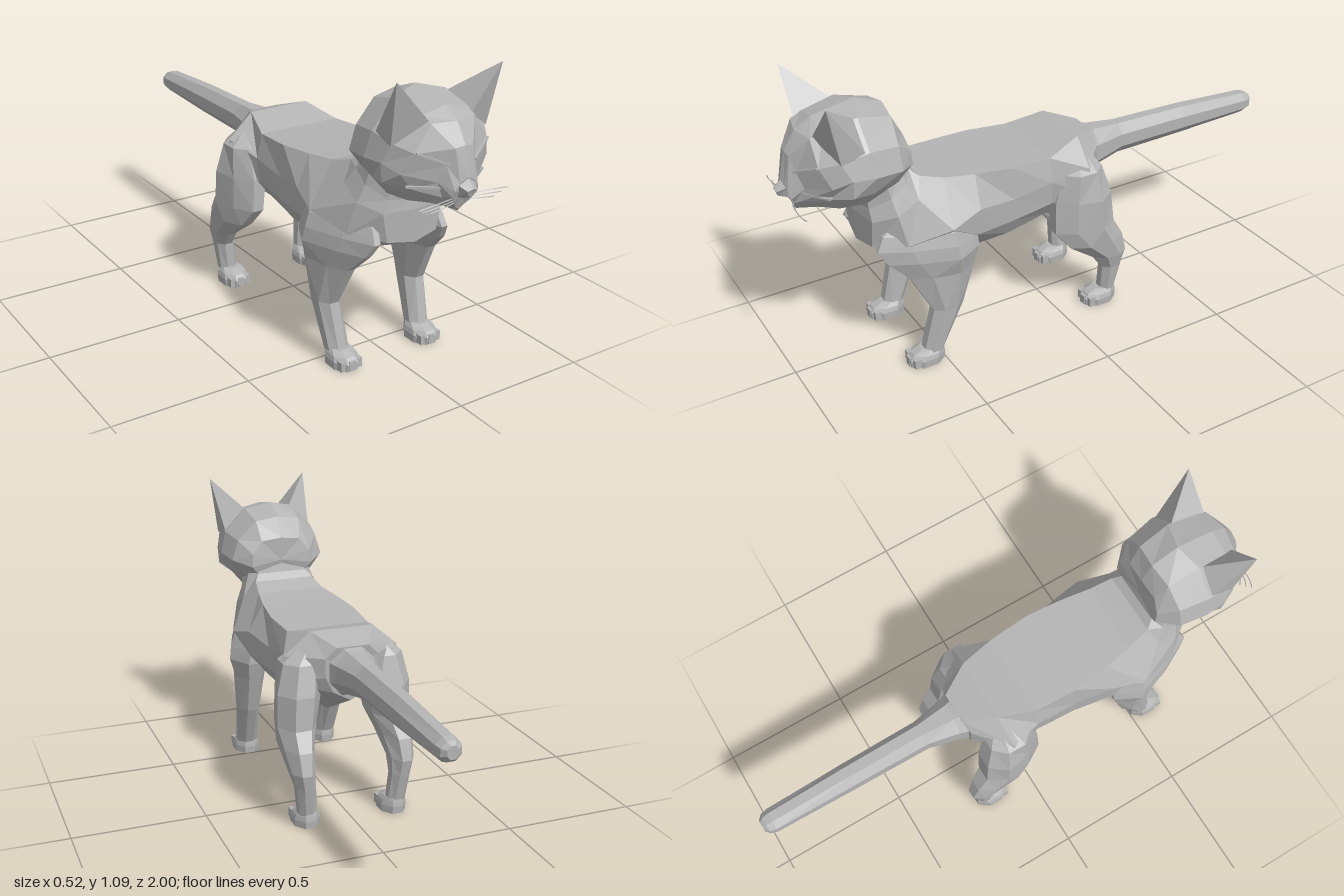
import * as THREE from 'three';

const fur = new THREE.MeshStandardMaterial({ color: 0xb4b4b4 });
fur.name = 'grey fur';

// Flat-faced mesh from any geometry
function facet(name, geometry) {
  const g = geometry.index ? geometry.toNonIndexed() : geometry;
  g.deleteAttribute('normal');
  g.computeVertexNormals();
  const mesh = new THREE.Mesh(g, fur);
  mesh.name = name;
  return mesh;
}

// Skin a list of closed cross-sections and cap both ends
function loft(name, rings) {
  const tris = [];
  const n = rings[0].length;
  for (let r = 0; r < rings.length - 1; r++) {
    for (let i = 0; i < n; i++) {
      const j = (i + 1) % n;
      const [a, b, c, d] = [rings[r][i], rings[r][j], rings[r + 1][j], rings[r + 1][i]];
      tris.push([a, b, c], [a, c, d]);
    }
  }
  const cap = (ring, flip) => {
    const mid = [0, 1, 2].map(k => ring.reduce((s, p) => s + p[k], 0) / n);
    ring.forEach((p, i) => {
      const q = ring[(i + 1) % n];
      tris.push(flip ? [mid, q, p] : [mid, p, q]);
    });
  };
  cap(rings[0], true);
  cap(rings[rings.length - 1], false);
  // Face outwards whichever way the rings were wound
  let volume = 0;
  const v = p => new THREE.Vector3(...p);
  for (const [a, b, c] of tris) volume += v(a).dot(v(b).cross(v(c)));
  if (volume < 0) tris.forEach(t => t.reverse());
  const g = new THREE.BufferGeometry();
  g.setAttribute('position', new THREE.Float32BufferAttribute(tris.flat(2), 3));
  return facet(name, g);
}

// Half section (top to bottom) mirrored into a full ring
const mirror = half => [...half,
  ...half.filter(p => p[0] !== 0).reverse().map(([x, y, z]) => [-x, y, z])];

// Octagon filling the box a0..a1 by b0..b1
function octagon(a0, a1, b0, b1, place) {
  return Array.from({ length: 8 }, (_, i) => {
    const t = (i + 0.5) * Math.PI / 4, k = 2 * Math.cos(Math.PI / 8);
    return place((a0 + a1) / 2 + (a1 - a0) * Math.cos(t) / k, (b0 + b1) / 2 + (b1 - b0) * Math.sin(t) / k);
  });
}

// Limb from rows of [y, inner x, outer x, front z, back z, pinch];
// pinch pulls the outer front corner inwards
const limb = (name, rows, s) => loft(name, rows.map(([y, x0, x1, z0, z1, pinch = 0]) =>
  octagon(x0, x1, z1, z0, (x, z) => {
    const outerFront = x > (x0 + x1) / 2 && z > (z0 + z1) / 2;
    return [s * (outerFront ? x - pinch : x), y, z];
  })));

// Paw with three blocky toes; z is the heel
function paw(name, s, z, x) {
  const group = new THREE.Group();
  group.name = name;
  group.add(limb('pawPad', [
    [0.06, x - 0.035, x + 0.035, z + 0.085, z + 0.003],
    [0.045, x - 0.045, x + 0.045, z + 0.12, z],
    [0.028, x - 0.05, x + 0.05, z + 0.135, z - 0.002],
    [0, x - 0.048, x + 0.048, z + 0.132, z]], s));
  for (const k of [-1, 0, 1]) {
    const toe = facet('toe', new THREE.BoxGeometry(0.027, 0.034, 0.04));
    toe.position.set(s * (x + k * 0.029), 0.02, z + 0.117 - Math.abs(k) * 0.01);
    group.add(toe);
  }
  return group;
}

export function createModel() {
  const cat = new THREE.Group();
  cat.name = 'cat';

  // Torso from inside the head, down the neck, to the rump
  cat.add(loft('torso', [
    [[0.08, 0.81, 0.575], [0.12, 0.78, 0.60], [0.135, 0.74, 0.66], [0.09, 0.70, 0.72], [0, 0.69, 0.74]],
    [[0.10, 0.75, 0.562], [0.14, 0.72, 0.59], [0.145, 0.68, 0.65], [0.10, 0.64, 0.715], [0, 0.63, 0.73]],
    [[0.12, 0.725, 0.535], [0.165, 0.66, 0.56], [0.17, 0.62, 0.64], [0.12, 0.595, 0.715], [0, 0.595, 0.735]],
    [[0.135, 0.70, 0.45], [0.238, 0.55, 0.47], [0.195, 0.51, 0.62], [0.10, 0.49, 0.715], [0, 0.475, 0.73]],
    [[0.155, 0.69, 0.34], [0.21, 0.58, 0.35], [0.205, 0.48, 0.36], [0.13, 0.39, 0.37], [0, 0.31, 0.38]],
    [[0.17, 0.68, 0.20], [0.18, 0.56, 0.20], [0.175, 0.47, 0.20], [0.13, 0.395, 0.20], [0, 0.31, 0.22]],
    [[0.16, 0.67, 0.04], [0.18, 0.58, 0.04], [0.172, 0.49, 0.04], [0.12, 0.42, 0.04], [0, 0.345, 0.04]],
    [[0.12, 0.705, -0.10], [0.22, 0.62, -0.09], [0.235, 0.52, -0.085], [0.11, 0.45, -0.08], [0, 0.40, -0.07]],
    [[0.06, 0.67, -0.21], [0.10, 0.63, -0.20], [0.10, 0.56, -0.20], [0.07, 0.50, -0.20], [0, 0.46, -0.19]],
  ].map(mirror)));

  // Tail rows: z, half width, bottom, top
  cat.add(loft('tail', [
    [-0.16, 0.10, 0.47, 0.68], [-0.23, 0.075, 0.50, 0.658], [-0.35, 0.05, 0.525, 0.647],
    [-0.65, 0.047, 0.53, 0.64], [-0.96, 0.042, 0.54, 0.622], [-0.985, 0.036, 0.548, 0.615], [-1, 0.02, 0.56, 0.605],
  ].map(([z, w, y0, y1]) => octagon(-w, w, y0, y1, (x, y) => [x, y, z]))));

  // Head, back of skull to muzzle
  cat.add(loft('head', [
    [[0, 0.89, 0.565], [0.08, 0.88, 0.57], [0.12, 0.83, 0.56], [0.125, 0.78, 0.556], [0.10, 0.75, 0.565], [0.06, 0.74, 0.575], [0, 0.74, 0.575]],
    [[0, 0.97, 0.60], [0.09, 0.955, 0.61], [0.165, 0.88, 0.62], [0.19, 0.80, 0.62], [0.14, 0.735, 0.62], [0.10, 0.71, 0.64], [0, 0.70, 0.66]],
    [[0, 1.01, 0.70], [0.10, 0.985, 0.73], [0.185, 0.895, 0.73], [0.207, 0.81, 0.72], [0.17, 0.735, 0.72], [0.12, 0.675, 0.73], [0, 0.645, 0.735]],
    [[0, 0.98, 0.85], [0.095, 0.96, 0.85], [0.18, 0.88, 0.83], [0.20, 0.815, 0.80], [0.195, 0.75, 0.80], [0.11, 0.68, 0.82], [0, 0.65, 0.84]],
    [[0, 0.945, 0.91], [0.085, 0.945, 0.89], [0.14, 0.86, 0.89], [0.17, 0.79, 0.86], [0.13, 0.735, 0.865], [0.07, 0.685, 0.88], [0, 0.655, 0.89]],
    [[0, 0.88, 0.952], [0.035, 0.875, 0.948], [0.055, 0.82, 0.935], [0.075, 0.765, 0.92], [0.06, 0.715, 0.928], [0.035, 0.68, 0.925], [0, 0.66, 0.93]],
    [[0, 0.785, 0.975], [0.028, 0.77, 0.97], [0.045, 0.745, 0.968], [0.05, 0.725, 0.96], [0.035, 0.70, 0.95], [0.018, 0.68, 0.938], [0, 0.665, 0.935]],
  ].map(mirror)));

  // Nose wedge
  cat.add(loft('nose', [
    [[0, 0.79, 0.965], [0.035, 0.765, 0.96], [0.025, 0.72, 0.955], [0, 0.71, 0.955]],
    [[0, 0.755, 1], [0.018, 0.748, 0.995], [0.01, 0.73, 0.988], [0, 0.725, 0.988]],
  ].map(mirror)));

  for (const s of [1, -1]) {
    const side = s > 0 ? 'left' : 'right';

    // Ear: four-sided spike leaning forward and out
    const base = [[0.08, 0.945, 0.88], [0.095, 0.98, 0.74], [0.18, 0.89, 0.74], [0.187, 0.875, 0.83]];
    const tip = [0.204, 1.09, 0.872];
    const ring = t => base.map(p => p.map((c, k) => (c + (tip[k] - c) * t) * (k ? 1 : s)));
    cat.add(loft(side + 'Ear', [ring(0), ring(0.99)]));

    // Brow ridge and lower cheek fold
    const brow = facet(side + 'Brow', new THREE.BoxGeometry(0.11, 0.007, 0.024));
    brow.position.set(s * 0.09, 0.842, 0.911);
    brow.rotation.set(0, s * 0.5, s * 0.36);
    const fold = facet(side + 'CheekFold', new THREE.BoxGeometry(0.11, 0.007, 0.016));
    fold.position.set(s * 0.105, 0.747, 0.892);
    fold.rotation.set(0, s * 0.62, 0);
    cat.add(brow, fold);

    // Whiskers
    for (const k of [0, 1, 2]) {
      const curve = new THREE.QuadraticBezierCurve3(
        new THREE.Vector3(s * 0.035, 0.715 - k * 0.008, 0.95),
        new THREE.Vector3(s * 0.11, 0.73 - k * 0.018, 0.985 - k * 0.008),
        new THREE.Vector3(s * (0.175 - k * 0.02), 0.71 - k * 0.014, 0.962 - k * 0.01));
      cat.add(facet(side + 'Whisker', new THREE.TubeGeometry(curve, 6, 0.002, 3)));
    }

    // Front leg, shoulder to ankle
    cat.add(limb(side + 'FrontLeg', [
      [0.60, 0.09, 0.18, 0.62, 0.42, 0.02], [0.54, 0.07, 0.236, 0.69, 0.37, 0.045],
      [0.49, 0.075, 0.252, 0.715, 0.36, 0.05], [0.44, 0.09, 0.26, 0.685, 0.36, 0.045],
      [0.37, 0.118, 0.24, 0.615, 0.38, 0.02], [0.22, 0.14, 0.224, 0.54, 0.425], [0.05, 0.133, 0.212, 0.58, 0.502],
    ], s));
    cat.add(paw(side + 'FrontPaw', s, 0.503, 0.17));

    // Hind leg, hip to ankle
    cat.add(limb(side + 'HindLeg', [
      [0.65, 0.08, 0.17, -0.05, -0.13], [0.60, 0.08, 0.23, 0.0, -0.165], [0.49, 0.09, 0.257, 0.03, -0.195, 0.02],
      [0.37, 0.11, 0.26, 0.035, -0.205, 0.02], [0.30, 0.135, 0.25, -0.02, -0.245], [0.22, 0.15, 0.238, -0.13, -0.267],
      [0.16, 0.15, 0.222, -0.172, -0.257], [0.05, 0.14, 0.21, -0.172, -0.235],
    ], s));
    cat.add(paw(side + 'HindPaw', s, -0.238, 0.172));
  }
  return cat;
}
